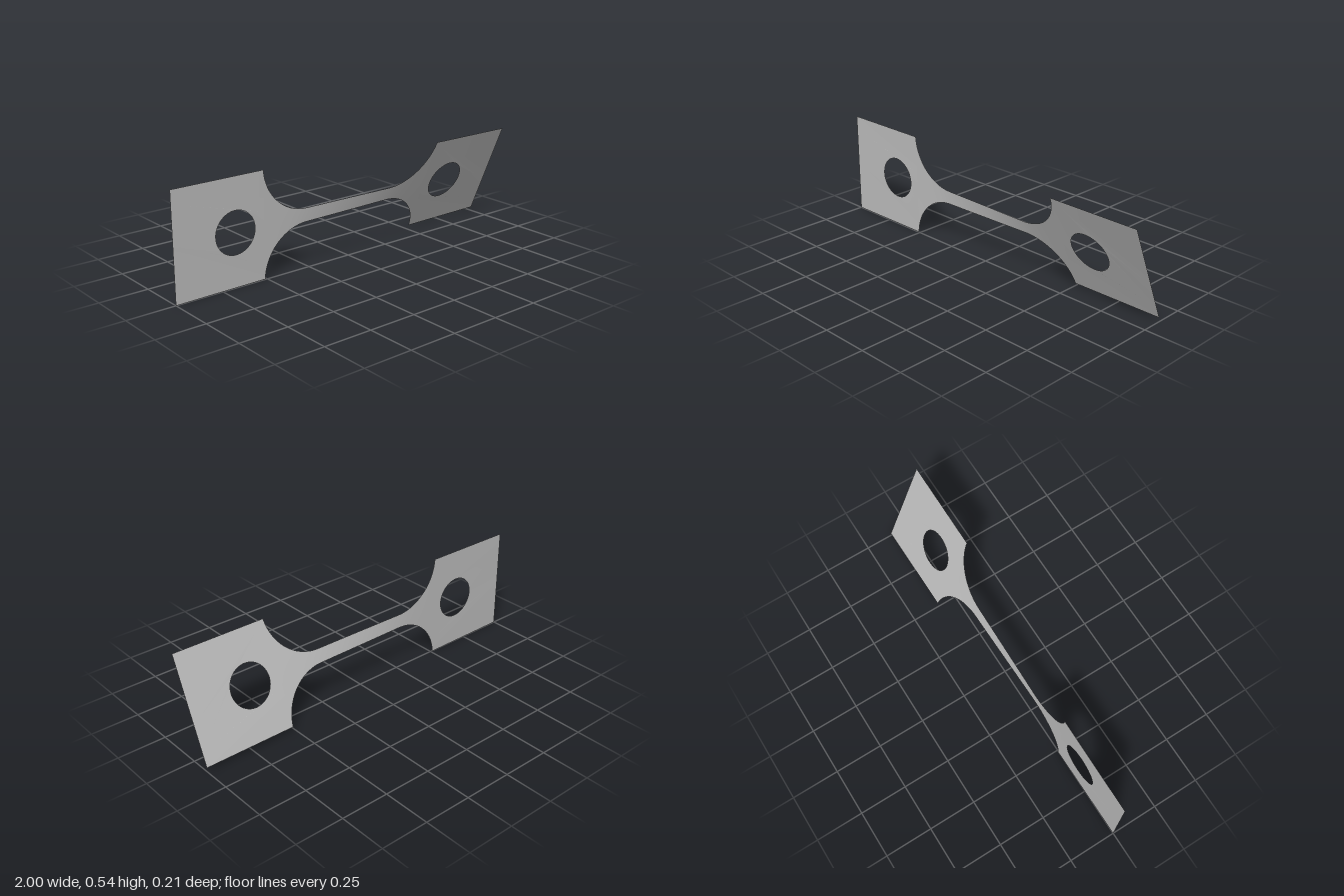
import * as THREE from 'three';
import { mergeGeometries, mergeVertices } from 'three/addons/utils/BufferGeometryUtils.js';

const HALF_H = 0.271;                  // half height of the end plates
const NECK = 0.036;                    // half height of the neck
const R = 0.25, ARC_X = 0.26;          // fillet radius and centre
const PLATE_X = ARC_X + Math.sqrt(R * R - (NECK + R - HALF_H) ** 2);
const TWIST = THREE.MathUtils.degToRad(22.7);
const ROWS = 8;

// Half height of the bar at x
function halfHeight(x) {
  const d = Math.abs(x) - ARC_X;
  if (d <= 0) return NECK;
  if (d >= PLATE_X - ARC_X) return HALF_H;
  return NECK + R - Math.sqrt(R * R - d * d);
}

// Accumulated twist from x = -1: narrow sections twist the most
const STEPS = 800;
const twistTable = [0];
for (let i = 0; i < STEPS; i++) {
  const x = -1 + (2 * (i + 0.5)) / STEPS;
  twistTable.push(twistTable[i] + (NECK / halfHeight(x)) ** 1.5);
}
function twistAt(x) {
  const t = THREE.MathUtils.clamp(((x + 1) / 2) * STEPS, 0, STEPS);
  const i = Math.min(Math.floor(t), STEPS - 1);
  return (TWIST * THREE.MathUtils.lerp(twistTable[i], twistTable[i + 1], t - i)) / twistTable[STEPS];
}

// End plate with a round hole
function endPlate(side) {
  const pts = [];
  const edge = (x, dir) => {
    for (let j = 0; j <= ROWS; j++) {
      pts.push(new THREE.Vector2(side * x, dir * HALF_H * ((2 * j) / ROWS - 1)));
    }
  };
  edge(1, 1);
  edge(PLATE_X, -1);
  const shape = new THREE.Shape(pts);
  shape.holes.push(new THREE.Path().absarc(side * 0.67, 0, 0.108, 0, Math.PI * 2));
  return new THREE.ShapeGeometry(shape, 32);
}

// Neck with its flaring fillets, as a strip of columns
function neckStrip() {
  const xs = [];
  const aMax = Math.asin((PLATE_X - ARC_X) / R);
  const N = 24;
  for (let i = 0; i <= N; i++) xs.push(-ARC_X - R * Math.sin(aMax * (1 - i / N)));
  for (let i = 1; i < N; i++) xs.push(-ARC_X + (2 * ARC_X * i) / N);
  for (let i = 0; i <= N; i++) xs.push(ARC_X + R * Math.sin((aMax * i) / N));
  const g = new THREE.PlaneGeometry(1, 2, xs.length - 1, ROWS);
  const p = g.attributes.position;
  for (let i = 0; i < p.count; i++) {
    const x = xs[i % xs.length];
    const end = i % xs.length === 0 || i % xs.length === xs.length - 1;
    p.setXY(i, x, p.getY(i) * (end ? HALF_H : halfHeight(x)));
  }
  return g;
}

export function createModel() {
  const group = new THREE.Group();
  const grey = new THREE.MeshStandardMaterial({ color: 0xbfbfbf, side: THREE.DoubleSide });
  grey.name = 'plain grey';

  const parts = [endPlate(-1), neckStrip(), endPlate(1)];
  for (const g of parts) {
    g.deleteAttribute('normal');
    g.deleteAttribute('uv');
  }
  const geometry = mergeVertices(mergeGeometries(parts), 1e-4);

  // Twist the flat bar about its long axis
  const p = geometry.attributes.position;
  for (let i = 0; i < p.count; i++) {
    const a = twistAt(p.getX(i)), v = p.getY(i);
    p.setXYZ(i, p.getX(i), HALF_H + v * Math.cos(a), v * Math.sin(a));
  }
  geometry.computeVertexNormals();

  const bar = new THREE.Mesh(geometry, grey);
  bar.name = 'twistedBar';
  group.add(bar);
  return group;
}
